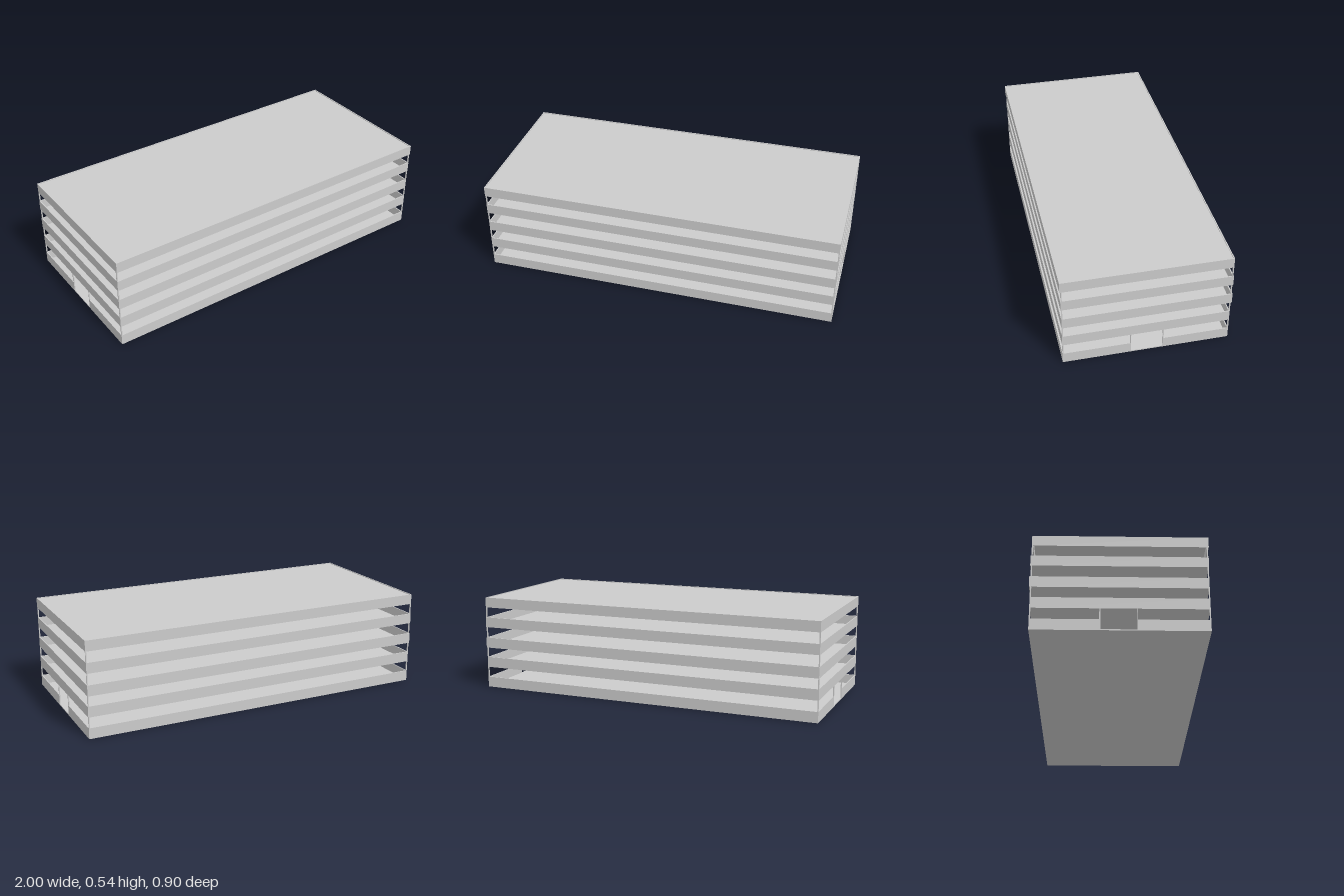
import * as THREE from 'three';

const mat = new THREE.MeshStandardMaterial({ color: 0xcccccc, flatShading: true });
const T = 0.006; // wall, slab and post thickness

// Box given by its min and max corners
function box(parent, name, x0, x1, y0, y1, z0, z1) {
  const m = new THREE.Mesh(new THREE.BoxGeometry(x1 - x0, y1 - y0, z1 - z0), mat);
  m.position.set((x0 + x1) / 2, (y0 + y1) / 2, (z0 + z1) / 2);
  m.name = name;
  parent.add(m);
}

export function createModel() {
  const building = new THREE.Group();
  building.name = 'openBuilding';

  // Storeys: bottom and top of the parapet band, back and front, slab height
  const levels = [
    { y0: 0, y1: 0.06, z0: -0.443, z1: 0.447, slab: 0 },
    { y0: 0.12, y1: 0.18, z0: -0.443, z1: 0.447, slab: 0.12 },
    { y0: 0.238, y1: 0.298, z0: -0.449, z1: 0.447, slab: 0.238 },
    { y0: 0.36, y1: 0.418, z0: -0.447, z1: 0.449, slab: 0.36 },
    { y0: 0.477, y1: 0.535, z0: -0.443, z1: 0.452, slab: 0.525 },
  ];
  // Doorway edges in z for each end wall
  const doors = { 1: [-0.084, 0.085], [-1]: [-0.094, 0.086] };

  levels.forEach(({ y0, y1, z0, z1, slab }, i) => {
    const storey = new THREE.Group();
    storey.name = 'storey' + i;
    building.add(storey);

    // Floor or roof slab and the long parapets
    box(storey, i === 4 ? 'roofSlab' : 'floorSlab', -1 + T, 1 - T, slab, slab + T, z0 + T, z1 - T);
    box(storey, 'frontBand', -1, 1, y0, y1, z1 - T, z1);
    box(storey, 'backBand', -1, 1, y0, y1, z0, z0 + T);

    // End parapets, split by a doorway on the ground floor
    for (const s of [-1, 1]) {
      const x0 = s > 0 ? 1 - T : -1, x1 = x0 + T;
      if (i > 0) {
        box(storey, 'endBand', x0, x1, y0, y1, z0 + T, z1 - T);
        continue;
      }
      const [d0, d1] = doors[s];
      box(storey, 'endBand', x0, x1, y0, y1, z0 + T, d0);
      box(storey, 'endBand', x0, x1, y0, y1, d1, z1 - T);
      box(storey, 'doorSill', x0, x1, 0, T, d0, d1);
      box(storey, 'doorJamb', x0, x1, y1, 0.12, d0 - T, d0);
      box(storey, 'doorJamb', x0, x1, y1, 0.12, d1, d1 + T * 0.7);
    }

    // Corner posts up to the next band
    if (i < 4) {
      for (const x of [-1, 1 - T]) {
        box(storey, 'cornerPost', x, x + T, y1, levels[i + 1].y0, 0.447 - T, 0.447);
        box(storey, 'cornerPost', x, x + T, y1, levels[i + 1].y0, -0.443, -0.443 + T);
      }
    }
  });
  return building;
}
